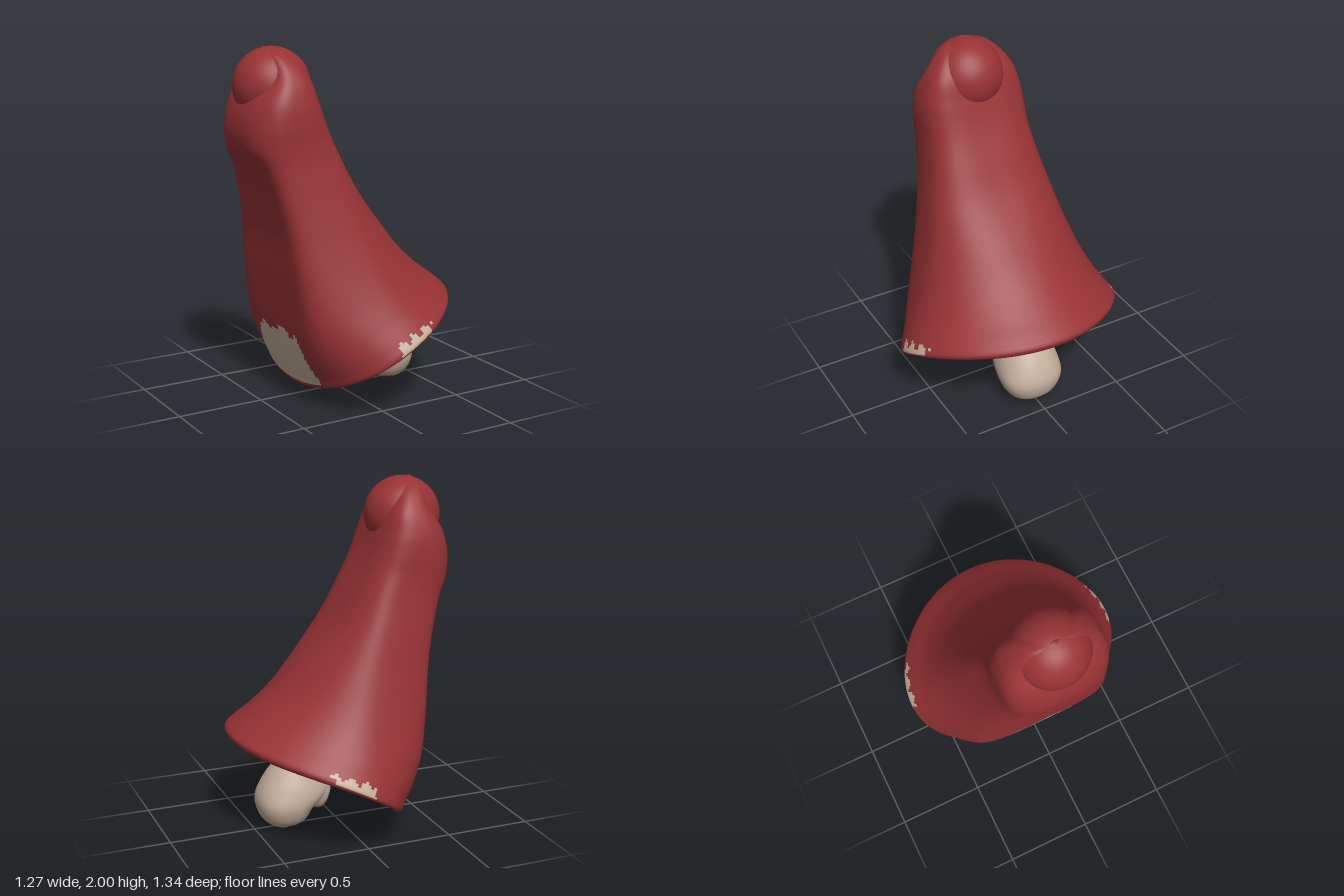
import * as THREE from 'three';

const red = new THREE.MeshStandardMaterial({ color: 0x983235 });
const skin = new THREE.MeshStandardMaterial({ color: 0xc4ae9b });

// Smooth loft through rounded-box rings
// [frontX, frontY, backX, backY, halfWidth, bow, roundness of back, roundness of front].
// Faces where isSkin(point, angle, row 0..rings-1) holds go into a second mesh.
function loft(name, rings, rows, sides, isSkin) {
  const times = [0];
  for (let i = 1; i < rings.length; i++) {
    let d = 0;
    for (let k = 0; k < 5; k++) d += (rings[i][k] - rings[i - 1][k]) ** 2;
    times.push(times[i - 1] + Math.sqrt(d));
  }
  const spline = new THREE.CubicInterpolant(times, rings.flat(), 8);
  const total = times[times.length - 1];
  const pos = [], rowOf = [];
  for (let r = 0; r <= rows; r++) {
    const time = Math.min(total * r / rows, total - 1e-6);
    const [fx, fy, bx, by, w, bow, back, front] = spline.evaluate(time);
    let seg = 0;
    while (times[seg + 1] < time) seg++;
    rowOf.push(seg + (time - times[seg]) / (times[seg + 1] - times[seg]));
    for (let s = 0; s < sides; s++) {
      const t = s / sides * Math.PI * 2, c = Math.cos(t), n = Math.sin(t);
      const power = front + (back - front) * (1 - c) / 2;
      const u = Math.sign(c) * Math.abs(c) ** power;
      const taper = 1 - 0.1 * (1 - back) * Math.max(0, -u);
      pos.push(
        (fx + bx) / 2 + (fx - bx) / 2 * u - bow * n * n,
        (fy + by) / 2 + (fy - by) / 2 * u + 0.45 * bow * n * n,
        Math.max(w, 0) * taper * Math.sign(n) * Math.abs(n) ** power);
    }
  }
  const index = [], redFaces = [], skinFaces = [];
  const v = new THREE.Vector3();
  for (let r = 0; r < rows; r++) {
    for (let s = 0; s < sides; s++) {
      const a = r * sides + s, b = r * sides + (s + 1) % sides, c = a + sides, d = b + sides;
      const faces = [a, c, b, b, c, d];
      index.push(...faces);
      v.fromArray(pos, a * 3);
      (isSkin(v, s / sides * Math.PI * 2, rowOf[r]) ? skinFaces : redFaces).push(...faces);
    }
  }
  const whole = new THREE.BufferGeometry();
  whole.setAttribute('position', new THREE.Float32BufferAttribute(pos, 3));
  whole.setIndex(index);
  whole.computeVertexNormals();
  const group = new THREE.Group();
  group.name = name;
  for (const [label, faces, mat] of [['Red', redFaces, red], ['Skin', skinFaces, skin]]) {
    if (!faces.length) continue;
    const mesh = new THREE.Mesh(whole.clone().setIndex(faces), mat);
    mesh.name = name + label;
    group.add(mesh);
  }
  return group;
}

// Sleeve: shallow hollow, rolled lip, then the flat-backed outside up to the round shoulder
const sleeveRings = [
  [0.09, 0.53, 0.09, 0.53, 0, 0, 1, 1],
  [0.34, 0.67, -0.19, 0.38, 0.39, 0.06, 1, 1],
  [0.48, 0.63, -0.26, 0.21, 0.56, 0.10, 1, 1],
  [0.59, 0.56, -0.245, 0.12, 0.63, 0.11, 1, 1],
  [0.62, 0.555, -0.265, 0.09, 0.66, 0.11, 1, 1],
  [0.635, 0.59, -0.29, 0.09, 0.672, 0.11, 1, 1],
  [0.60, 0.625, -0.305, 0.13, 0.65, 0.11, 0.95, 1],
  [0.50, 0.70, -0.34, 0.23, 0.59, 0.11, 0.78, 1],
  [0.36, 0.82, -0.385, 0.42, 0.515, 0.09, 0.52, 0.95],
  [0.20, 1.00, -0.425, 0.72, 0.435, 0.06, 0.37, 0.85],
  [0.03, 1.21, -0.465, 1.03, 0.37, 0.03, 0.32, 0.7],
  [-0.09, 1.42, -0.55, 1.34, 0.32, 0.01, 0.4, 0.62],
  [-0.145, 1.53, -0.615, 1.46, 0.31, 0, 0.6, 0.58],
  [-0.18, 1.61, -0.63, 1.58, 0.31, 0, 0.75, 0.55],
  [-0.22, 1.72, -0.60, 1.71, 0.297, 0, 0.8, 0.55],
  [-0.27, 1.85, -0.51, 1.85, 0.243, 0, 0.75, 0.55],
  [-0.36, 1.96, -0.48, 1.965, 0.135, 0, 0.75, 0.65],
  [-0.45, 2.00, -0.46, 2.00, 0, 0, 1, 1],
];

// Bare patches: both sides of the hem, the back hem and the lower inside
function sleevePatch(v, t, row) {
  const jag = 0.02 * Math.sin(t * 41);
  const z = Math.abs(v.z);
  if (row < 4) return row > 0.5 && v.x < 0.12 && z < 0.42 - 1.0 * (v.y - 0.18) + jag;
  if (row < 5.3) return z > 0.6 && v.x > 0.03 && v.x < 0.24 && row > 4.6;
  const side = z > 0.5 && v.x > 0.02 && v.x < 0.26 && v.y < 0.41 + 0.4 * v.x + jag;
  const back = v.x < -0.2 && z < 0.33 - 0.4 * (v.y - 0.1) && v.y < 0.4 + jag;
  return side || back;
}

// Mitten hand, listed from the fingertips up to the wrist
const handRings = [
  [0.345, 0.005, 0.335, 0.005, 0, 0, 1, 1],
  [0.41, 0.03, 0.27, 0.02, 0.09, 0, 0.9, 0.9],
  [0.46, 0.08, 0.20, 0.06, 0.15, 0, 0.85, 0.9],
  [0.483, 0.17, 0.16, 0.13, 0.185, 0, 0.8, 0.9],
  [0.445, 0.28, 0.07, 0.21, 0.18, 0, 0.8, 0.9],
  [0.365, 0.39, 0.04, 0.29, 0.15, 0, 0.85, 0.9],
  [0.28, 0.47, 0.025, 0.38, 0.128, 0, 0.85, 0.9],
  [0.20, 0.62, -0.03, 0.51, 0.12, 0, 0.9, 0.9],
  [0.16, 0.68, -0.05, 0.56, 0.11, 0, 1, 1],
];
const thumbRings = [
  [0.13, 0.09, 0.12, 0.09, 0, 0, 1, 1],
  [0.155, 0.11, 0.088, 0.115, 0.075, 0, 0.9, 0.9],
  [0.165, 0.16, 0.064, 0.17, 0.115, 0, 0.85, 0.9],
  [0.19, 0.25, 0.045, 0.25, 0.13, 0, 0.85, 0.9],
  [0.20, 0.36, 0.045, 0.34, 0.10, 0, 1, 1],
];

export function createModel() {
  const model = new THREE.Group();
  model.name = 'sleevedArm';
  model.add(loft('sleeve', sleeveRings, 190, 180, sleevePatch));
  model.add(loft('hand', handRings, 64, 48, (v, t) =>
    v.y < 0.51 + 0.012 * Math.sin(t * 11) && !(v.y < 0.04 && v.x < 0.335)));
  model.add(loft('thumb', thumbRings, 32, 32, () => true));

  // Ball joint in the shoulder
  const ball = new THREE.Mesh(new THREE.SphereGeometry(0.215, 40, 28), red);
  ball.name = 'shoulderBall';
  ball.position.set(-0.408, 1.785, 0);
  model.add(ball);
  return model;
}
